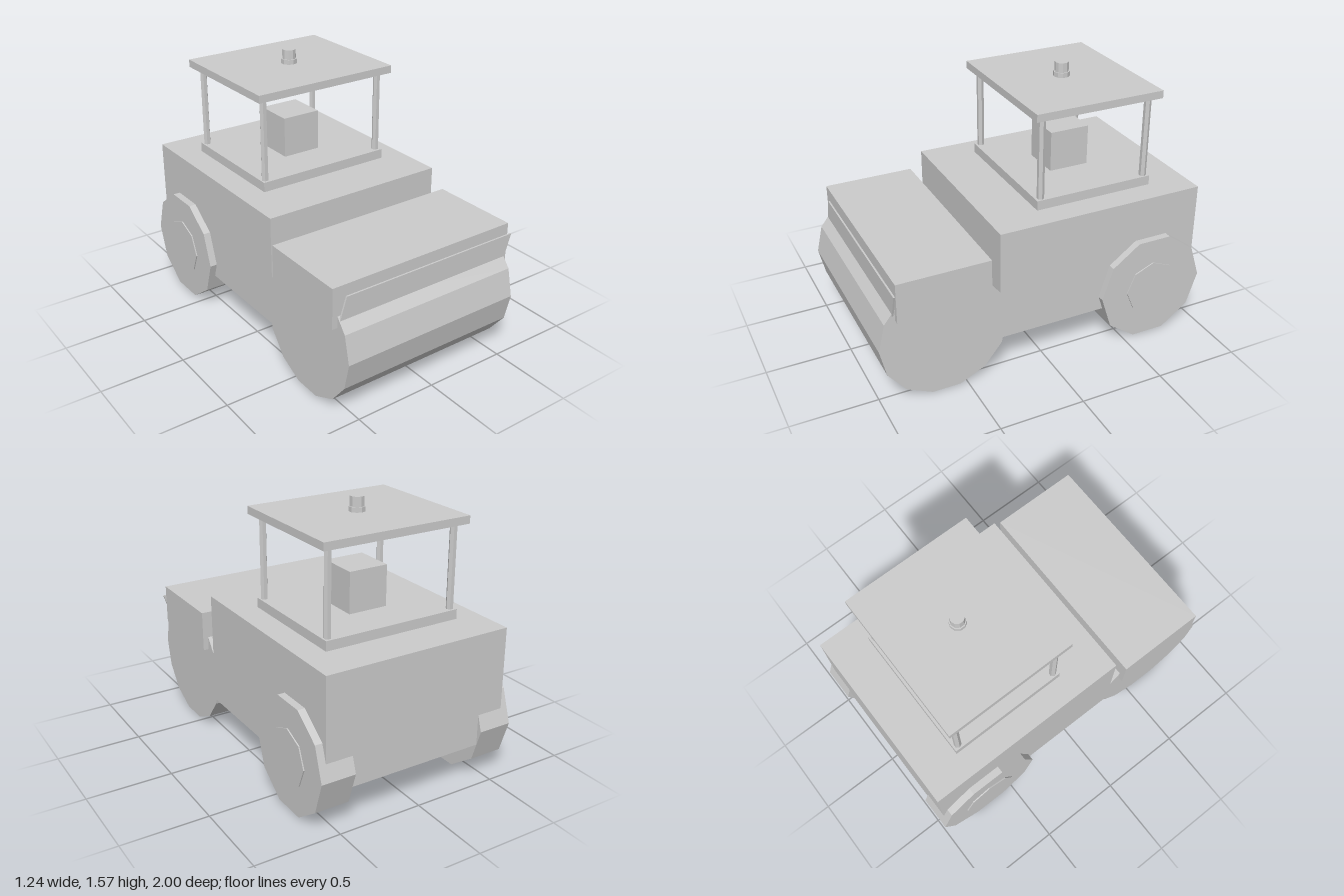
import * as THREE from 'three';

const material = new THREE.MeshStandardMaterial({ color: 0xcccccc, flatShading: true });

export function createModel() {
  const model = new THREE.Group();
  model.name = 'roadRoller';

  function add(name, geometry, x, y, z) {
    const mesh = new THREE.Mesh(geometry, material);
    mesh.name = name;
    mesh.position.set(x, y, z);
    model.add(mesh);
    return mesh;
  }
  // Box given by its lower and upper limits
  const box = (name, [x0, x1], [y0, y1], [z0, z1]) => add(
    name, new THREE.BoxGeometry(x1 - x0, y1 - y0, z1 - z0),
    (x0 + x1) / 2, (y0 + y1) / 2, (z0 + z1) / 2);
  // Faceted cylinder lying along x
  const roller = (name, radius, x0, x1, sides, y, z) => add(
    name, new THREE.CylinderGeometry(radius, radius, x1 - x0, sides).rotateZ(Math.PI / 2),
    (x0 + x1) / 2, y, z);

  // Body and front drum
  box('body', [-0.57, 0.57], [0.235, 0.9], [-0.97, 0.293]);
  roller('drum', 0.375, -0.57, 0.57, 14, 0.366, 0.625);
  box('drumCover', [-0.602, 0.602], [0.54, 0.778], [0.358, 0.9]);

  // Slanted scraper plate in front of the drum cover
  const plate = new THREE.Shape([
    new THREE.Vector2(-0.57, 0.572), new THREE.Vector2(0.57, 0.572),
    new THREE.Vector2(0.616, 0.715), new THREE.Vector2(-0.524, 0.715),
  ]);
  add('scraper', new THREE.ExtrudeGeometry(plate, { depth: 0.01, bevelEnabled: false }), 0, 0, 0.907);

  // Rear wheels, with hubs showing on both faces
  for (const side of [-1, 1]) {
    const span = (a, b) => (side > 0 ? [a, b] : [-b, -a]);
    roller('rearWheel', 0.332, ...span(0.41, 0.613), 10, 0.325, -0.668);
    roller('wheelHub', 0.167, ...span(0.403, 0.62), 8, 0.325, -0.668);
  }

  // Driver's platform, seat and canopy
  const cabZ = -0.367;
  box('platform', [-0.42, 0.42], [0.9, 0.957], [-0.73, -0.003]);
  box('seat', [-0.12, 0.12], [0.957, 1.198], [-0.487, -0.245]);
  box('roof', [-0.452, 0.452], [1.442, 1.487], [-0.758, 0.025]);
  for (const x of [-0.393, 0.393]) {
    for (const z of [cabZ - 0.332, cabZ + 0.332]) {
      const post = new THREE.CylinderGeometry(0.021, 0.021, 0.485, 6).rotateY(Math.PI / 2);
      add('roofPost', post, x, 1.2, z);
    }
  }

  // Warning light on the roof
  add('beaconBase', new THREE.CylinderGeometry(0.048, 0.048, 0.028, 10), 0, 1.501, cabZ);
  add('beacon', new THREE.CylinderGeometry(0.041, 0.041, 0.085, 10), 0, 1.529, cabZ);

  return model;
}
